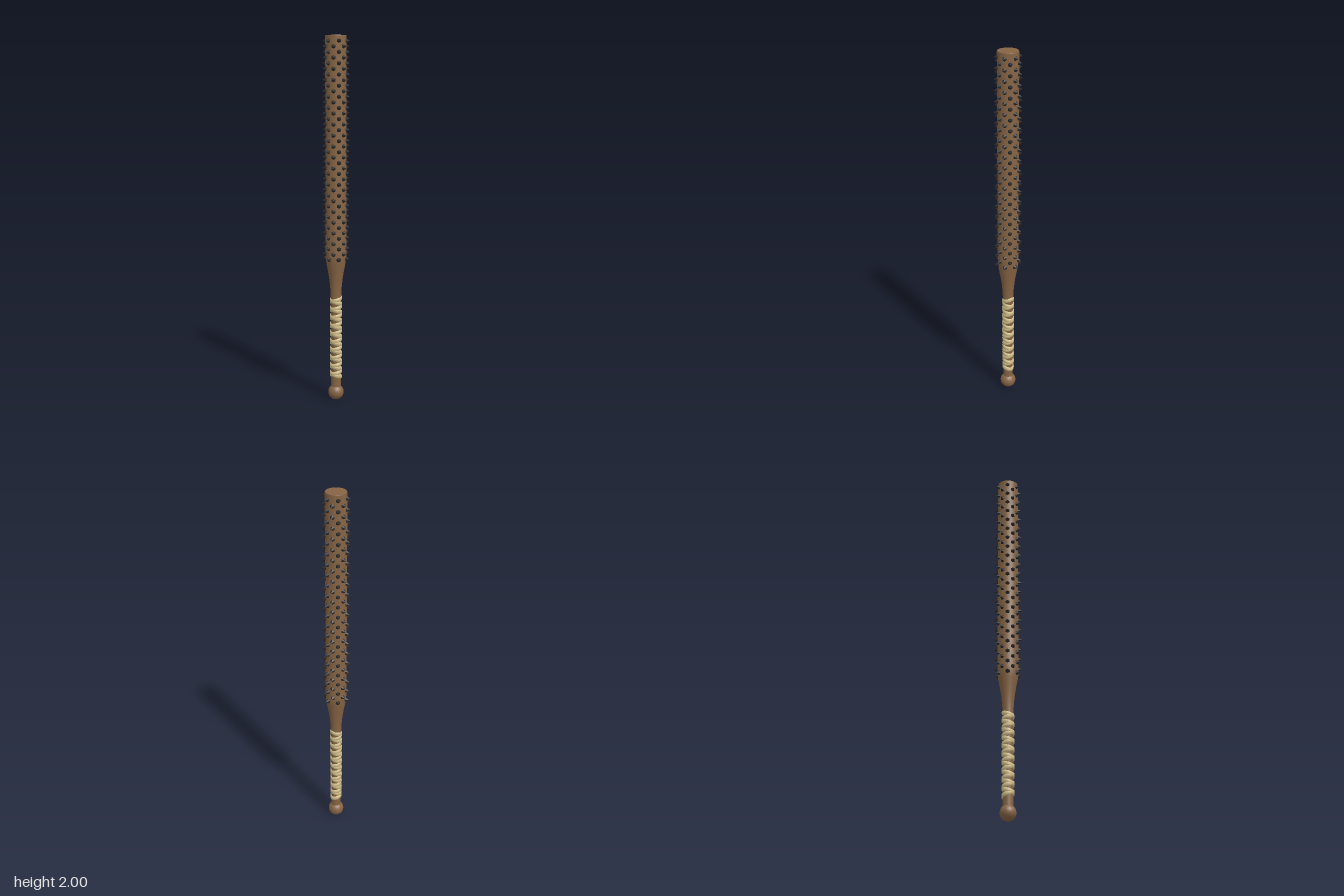
import * as THREE from 'three';
import { mergeGeometries } from 'three/addons/utils/BufferGeometryUtils.js';

const wood = new THREE.MeshStandardMaterial({ name: 'brown wood', color: 0x866444 });
const iron = new THREE.MeshStandardMaterial({ name: 'dark iron', color: 0x2c2c2d });
const tape = new THREE.MeshStandardMaterial({ name: 'cream tape', color: 0xd0bc88, side: THREE.DoubleSide });

// Domed ribbon wound round the handle; dir sets the winding sense
function ribbon(dir, y0, turns, pitch, halfWidth, phase) {
  const section = [[-1, 0.027], [-0.75, 0.0325], [0, 0.0335], [0.75, 0.0325], [1, 0.027]];
  const steps = turns * 28, n = section.length;
  const pos = [], index = [];
  for (let i = 0; i <= steps; i++) {
    const t = i / 28, a = phase + dir * t * Math.PI * 2;
    for (const [v, r] of section) {
      pos.push(Math.sin(a) * r, y0 + t * pitch + v * halfWidth, Math.cos(a) * r);
    }
    if (i === steps) break;
    for (let j = 0; j < n - 1; j++) {
      const p = i * n + j, q = p + n;
      if (dir > 0) index.push(p, q, p + 1, q, q + 1, p + 1);
      else index.push(p, p + 1, q, q, p + 1, q + 1);
    }
  }
  const g = new THREE.BufferGeometry();
  g.setAttribute('position', new THREE.Float32BufferAttribute(pos, 3));
  g.setIndex(index);
  g.computeVertexNormals();
  return g;
}

export function createModel() {
  const group = new THREE.Group();
  const add = (name, geometry, material, y = 0) => {
    const mesh = new THREE.Mesh(geometry, material);
    mesh.name = name;
    mesh.position.y = y;
    group.add(mesh);
    return mesh;
  };

  // Handle, flare and barrel in one turned profile
  const profile = [
    [0.027, 0.05], [0.027, 0.12], [0.028, 0.4], [0.029, 0.58], [0.031, 0.63], [0.036, 0.68],
    [0.044, 0.73], [0.052, 0.77], [0.056, 0.8], [0.057, 0.83], [0.057, 1.995], [0.055, 2],
  ].map(([r, y]) => new THREE.Vector2(r, y));
  add('shaft', new THREE.LatheGeometry(profile, 32), wood);
  add('barrelTop', new THREE.CircleGeometry(0.055, 32).rotateX(-Math.PI / 2), wood, 2);
  add('knob', new THREE.SphereGeometry(0.043, 32, 20), wood, 0.043);

  // Two opposed windings that cross on one side of the grip
  const phase = Math.PI * 0.75;
  add('gripWrapA', ribbon(1, 0.125, 10, 0.046, 0.0125, phase), tape);
  add('gripWrapB', ribbon(-1, 0.125, 10, 0.046, 0.0125, phase), tape);

  // Staggered rings of faceted spikes
  const cone = new THREE.ConeGeometry(0.0145, 0.023, 6).rotateX(Math.PI / 2).translate(0, 0, 0.0645);
  const spike = cone.toNonIndexed();
  spike.computeVertexNormals();
  const spikes = [];
  const rows = 41;
  for (let row = 0; row < rows; row++) {
    const y = 0.8 + (1.17 * row) / (rows - 1);
    for (let k = 0; k < 6; k++) {
      const angle = THREE.MathUtils.degToRad((row % 2 ? -15 : 15) + 60 * k);
      spikes.push(spike.clone().rotateY(angle).translate(0, y, 0));
    }
  }
  add('spikes', mergeGeometries(spikes), iron);

  return group;
}
